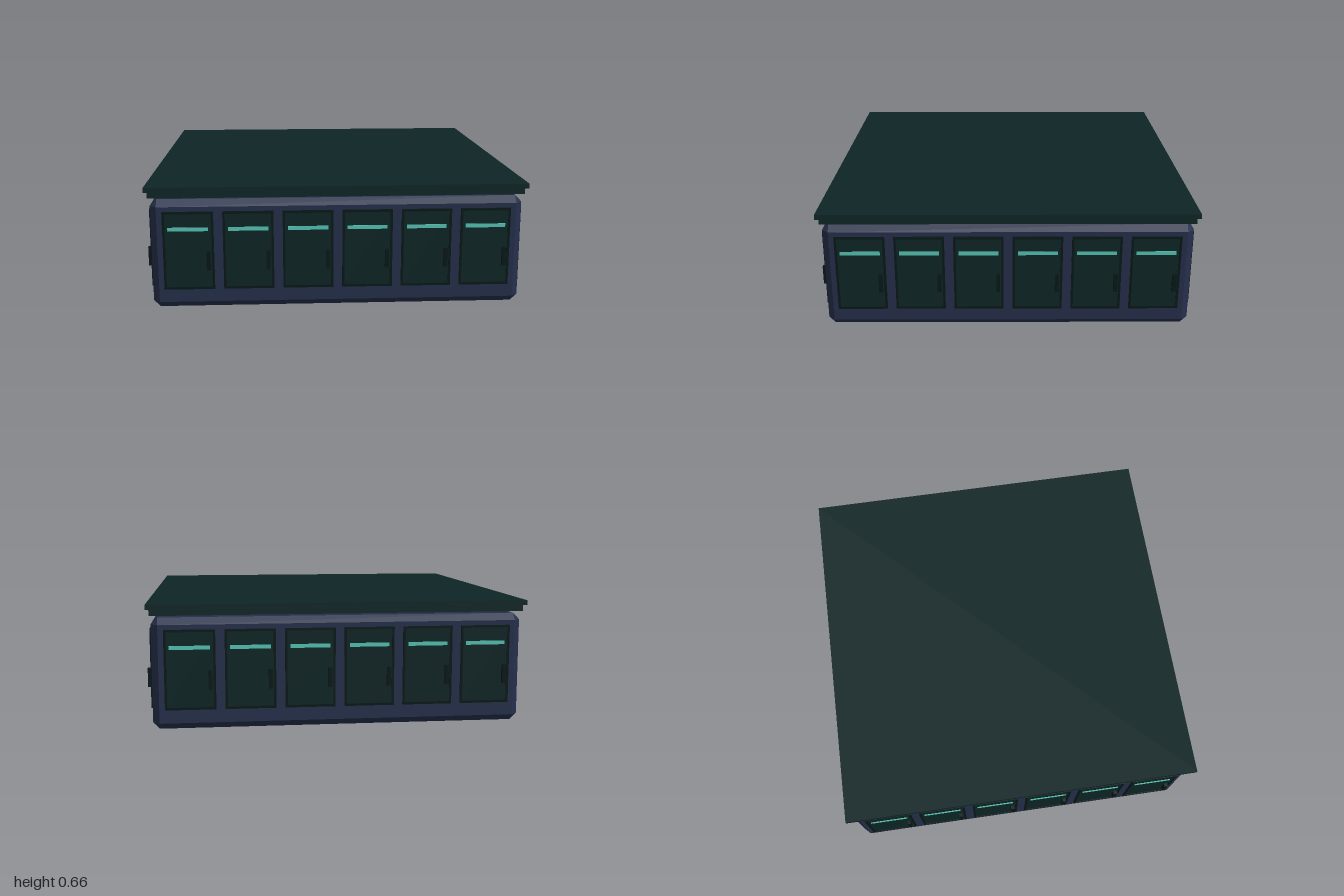
import * as THREE from 'three';

function material(name, color, side = THREE.FrontSide) {
  const m = new THREE.MeshStandardMaterial({ color, side, flatShading: true });
  m.name = name;
  return m;
}

function box(name, w, h, d, x, y, z, mat) {
  const mesh = new THREE.Mesh(new THREE.BoxGeometry(w, h, d), mat);
  mesh.name = name;
  mesh.position.set(x, y, z);
  return mesh;
}

// Hollow chamfered box, open underneath, from octagonal rings
function shellGeometry(half, inner, height, chamfer) {
  const levels = [[0, inner], [chamfer, half], [height - chamfer, half], [height, inner]];
  const ring = ([y, h]) => [
    [inner, h], [h, inner], [h, -inner], [inner, -h],
    [-inner, -h], [-h, -inner], [-h, inner], [-inner, h],
  ].map(([x, z]) => [x, y, z]);
  const pos = [];
  const tri = (a, b, c) => pos.push(...a, ...b, ...c);
  const same = (a, b) => a[0] === b[0] && a[2] === b[2] && a[1] === b[1];
  const face = (a, b, c) => { if (!same(a, b) && !same(b, c) && !same(a, c)) tri(a, b, c); };
  for (let l = 0; l < 3; l++) {
    const lo = ring(levels[l]), hi = ring(levels[l + 1]);
    for (let i = 0; i < 8; i++) {
      const j = (i + 1) % 8;
      face(lo[i], lo[j], hi[j]);
      face(lo[i], hi[j], hi[i]);
    }
  }
  // Top panel
  const t = ring(levels[3]);
  tri(t[0], t[2], t[4]);
  tri(t[0], t[4], t[6]);
  const g = new THREE.BufferGeometry();
  g.setAttribute('position', new THREE.Float32BufferAttribute(pos, 3));
  g.computeVertexNormals();
  return g;
}

// Rectangular border with an opening
function frameGeometry(w, h, border, depth) {
  const rect = (target, a, b) => target.moveTo(-a, -b).lineTo(a, -b).lineTo(a, b).lineTo(-a, b).closePath();
  const shape = rect(new THREE.Shape(), w / 2, h / 2);
  shape.holes.push(rect(new THREE.Path(), w / 2 - border, h / 2 - border));
  return new THREE.ExtrudeGeometry(shape, { depth, bevelEnabled: false });
}

export function createModel() {
  const model = new THREE.Group();
  model.name = 'cabinetIsland';
  const navy = material('navy', 0x252f4b, THREE.DoubleSide);
  const green = material('deepGreen', 0x0e2525);
  const dark = material('darkTrim', 0x081717);
  const teal = material('tealLight', 0x55c4b4);

  // Cabinet body
  const body = new THREE.Mesh(shellGeometry(0.975, 0.94, 0.584, 0.035), navy);
  body.name = 'body';
  model.add(body);

  // Floating two-step worktop
  model.add(box('worktopLower', 1.962, 0.034, 1.962, 0, 0.614, 0, green));
  model.add(box('worktopUpper', 1.996, 0.026, 1.996, 0, 0.643, 0, green));

  // Six doors on each of the four sides
  const frame = frameGeometry(0.264, 0.418, 0.012, 0.01);
  for (let s = 0; s < 4; s++) {
    const side = new THREE.Group();
    side.name = 'doorRow';
    side.rotation.y = s * Math.PI / 2;
    for (let i = 0; i < 6; i++) {
      const door = new THREE.Group();
      door.name = 'door';
      door.position.set((i - 2.5) * 0.3115, 0.315, 0.974);
      const border = new THREE.Mesh(frame, dark);
      border.name = 'doorFrame';
      door.add(border);
      door.add(box('doorPanel', 0.24, 0.394, 0.006, 0, 0, 0.003, green));
      door.add(box('lightStrip', 0.21, 0.02, 0.005, 0, 0.116, 0.0075, teal));
      door.add(box('handle', 0.02, 0.1, 0.025, 0.103, -0.052, 0.0135, dark));
      side.add(door);
    }
    model.add(side);
  }
  return model;
}
